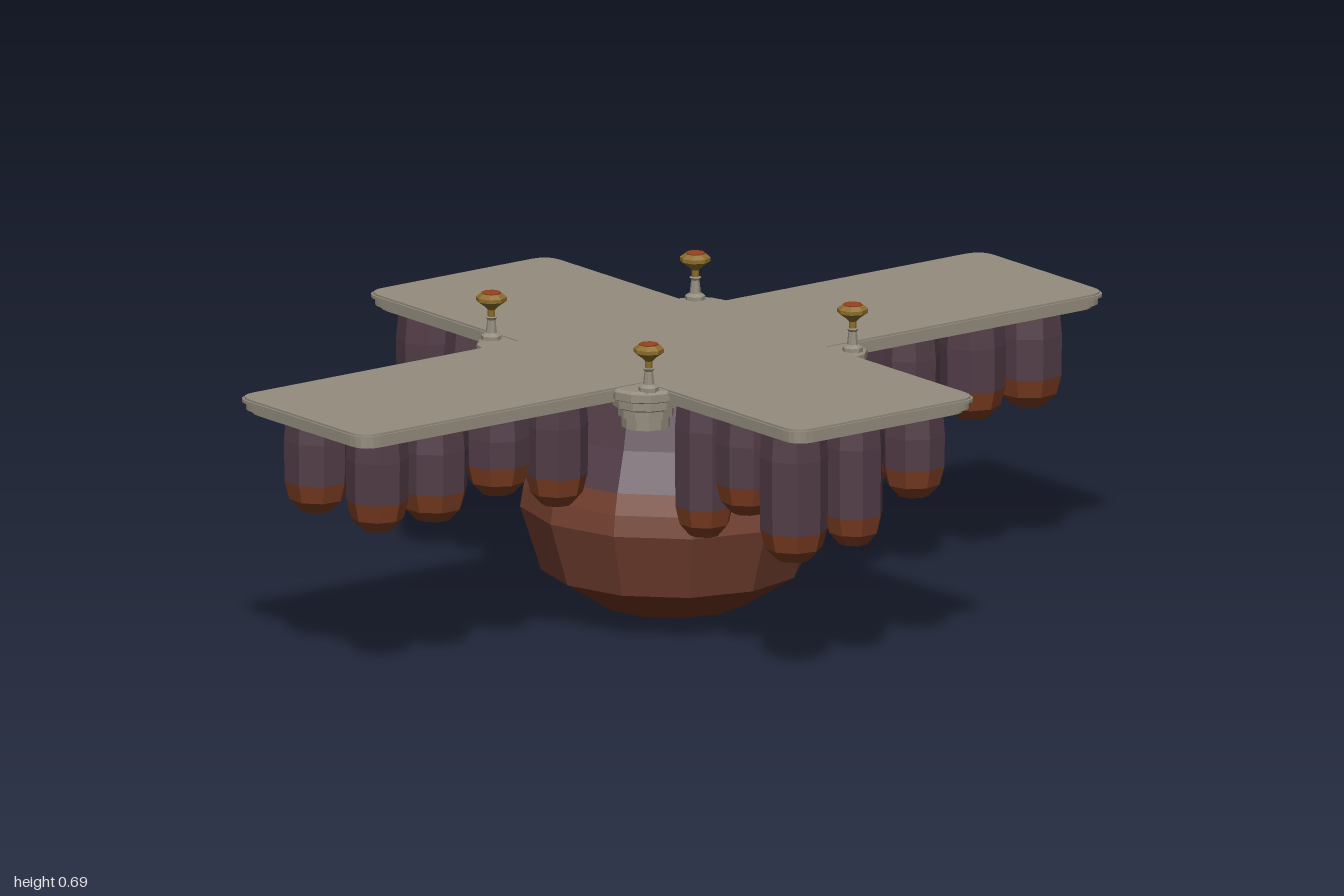
import * as THREE from 'three';

const mat = (name, color) => {
  const m = new THREE.MeshStandardMaterial({ color });
  m.name = name;
  return m;
};

// Faceted normals for the low-poly look
function facet(geo) {
  const g = geo.index ? geo.toNonIndexed() : geo;
  g.computeVertexNormals();
  return g;
}

const lathe = (pts, sides) =>
  facet(new THREE.LatheGeometry(pts.map(([r, y]) => new THREE.Vector2(r, y)), sides));

// Cross outline with rounded outer corners and sharp inner ones
function crossShape(inset) {
  const X = 0.75 - inset, Z = 1 - inset, w = 0.222 - inset, d = 0.247 - inset, r = 0.045;
  const s = new THREE.Shape();
  s.moveTo(w, d);
  s.lineTo(w, Z - r);
  s.quadraticCurveTo(w, Z, w - r, Z);
  s.lineTo(-w + r, Z);
  s.quadraticCurveTo(-w, Z, -w, Z - r);
  s.lineTo(-w, d);
  s.lineTo(-X + r, d);
  s.quadraticCurveTo(-X, d, -X, d - r);
  s.lineTo(-X, -d + r);
  s.quadraticCurveTo(-X, -d, -X + r, -d);
  s.lineTo(-w, -d);
  s.lineTo(-w, -Z + r);
  s.quadraticCurveTo(-w, -Z, -w + r, -Z);
  s.lineTo(w - r, -Z);
  s.quadraticCurveTo(w, -Z, w, -Z + r);
  s.lineTo(w, -d);
  s.lineTo(X - r, -d);
  s.quadraticCurveTo(X, -d, X, -d + r);
  s.lineTo(X, d - r);
  s.quadraticCurveTo(X, d, X - r, d);
  s.closePath();
  return s;
}

export function createModel() {
  const root = new THREE.Group();
  root.name = 'floatingCrossPlatform';

  const stone = mat('stone', 0x948c7e);
  const purple = mat('purpleRock', 0x523c47);
  const rust = mat('rustRock', 0x74402f);
  const brown = mat('brownRock', 0x6e341b);
  const tip = mat('rockTip', 0x7c3d22);
  const gold = mat('gold', 0x8a6c2c);
  const ember = mat('ember', 0x96421c);

  const add = (parent, name, geo, material, x = 0, y = 0, z = 0) => {
    const m = new THREE.Mesh(geo, material);
    m.name = name;
    m.position.set(x, y, z);
    parent.add(m);
    return m;
  };

  // Platform in stepped slabs
  [[0.555, 0.009, 0.016], [0.563, 0.016, 0.006], [0.579, 0.007, 0], [0.586, 0.004, 0.004]]
    .forEach(([y, depth, inset], i) => {
      const g = new THREE.ExtrudeGeometry(crossShape(inset), { depth, bevelEnabled: false, curveSegments: 5 });
      g.rotateX(-Math.PI / 2);
      add(root, 'platformSlab' + (i + 1), facet(g), stone, 0, y, 0);
    });

  // Central hanging boulder in three colour bands
  add(root, 'boulderNeck', lathe([[0.305, 0.335], [0.27, 0.42], [0.23, 0.556]], 12), purple);
  add(root, 'boulderBody', lathe([[0.28, 0.105], [0.325, 0.245], [0.318, 0.29], [0.305, 0.335]], 12), rust);
  add(root, 'boulderBase', lathe([[0, 0.005], [0.16, 0.03], [0.28, 0.105]], 12), brown);

  // Hanging rock column with a rounded tip
  function rock(x, z, bottom, r, turn) {
    const g = new THREE.Group();
    g.name = 'hangingRock';
    g.position.set(x, 0, z);
    g.rotation.y = turn;
    const b = bottom;
    add(g, 'rockShaft', lathe([[r, b + 0.07], [r * 1.02, 0.5], [r * 0.95, 0.556]], 8), purple);
    add(g, 'rockTip', lathe([[0, b], [r * 0.5, b + 0.004], [r * 0.85, b + 0.03], [r, b + 0.07]], 8), tip);
    root.add(g);
  }

  // Tip heights, listed outward from the centre
  const zArms = [
    { s: 1, x: 0.105, low: [0.32, 0.37, 0.34, 0.34] },
    { s: 1, x: -0.105, low: [0.34, 0.38, 0.36, 0.34] },
    { s: -1, x: 0.11, low: [0.33, 0.29, 0.335, 0.34] },
    { s: -1, x: -0.11, low: [0.36, 0.33, 0.35, 0.35] },
  ];
  const zRows = [0.39, 0.55, 0.72, 0.87];
  zArms.forEach(({ s, x, low }, k) =>
    low.forEach((b, i) => rock(x, s * zRows[i], b, 0.066 + 0.004 * ((i + k) % 3), 0.2 + i * 0.5 + k)));

  const xArms = [
    { s: 1, z: 0.16, low: [0.26, 0.34, 0.27] },
    { s: 1, z: 0, low: [0.34, 0.36, 0.28] },
    { s: 1, z: -0.16, low: [0.40, 0.36, 0.36] },
    { s: -1, z: 0.16, low: [0.30, 0.335, 0.255] },
    { s: -1, z: 0, low: [0.36, 0.37, 0.36] },
    { s: -1, z: -0.16, low: [0.38, 0.36, 0.31] },
  ];
  const xRows = [0.32, 0.47, 0.63];
  xArms.forEach(({ s, z, low }, k) =>
    low.forEach((b, i) => rock(s * xRows[i], z, b, 0.064 + 0.004 * ((i + k) % 3), 0.4 + i * 0.7 + k)));

  // Corner plinths and lamps
  const plinth = lathe([[0, 0.497], [0.052, 0.497], [0.052, 0.52], [0.06, 0.522], [0.06, 0.54],
    [0.072, 0.545], [0.072, 0.562], [0.082, 0.566], [0.082, 0.583], [0.072, 0.588], [0, 0.588]], 12);
  const foot = lathe([[0.022, 0.585], [0.022, 0.596], [0.012, 0.602], [0.009, 0.63], [0.013, 0.636], [0, 0.64]], 8);
  const bowl = lathe([[0.008, 0.63], [0.008, 0.652], [0.016, 0.66], [0.033, 0.672], [0.033, 0.68],
    [0.022, 0.688], [0, 0.688]], 8);
  const coal = lathe([[0.02, 0.686], [0.021, 0.69], [0, 0.692]], 8);
  for (const sx of [1, -1]) for (const sz of [1, -1]) {
    const corner = new THREE.Group();
    corner.name = 'cornerLamp';
    add(corner, 'plinth', plinth, stone, sx * 0.227, 0, sz * 0.245);
    const lamp = new THREE.Group();
    lamp.name = 'lamp';
    lamp.position.set(sx * 0.273, 0, sz * 0.273);
    add(lamp, 'lampFoot', foot, stone);
    add(lamp, 'lampBowl', bowl, gold);
    add(lamp, 'lampCoal', coal, ember);
    corner.add(lamp);
    root.add(corner);
  }
  return root;
}
